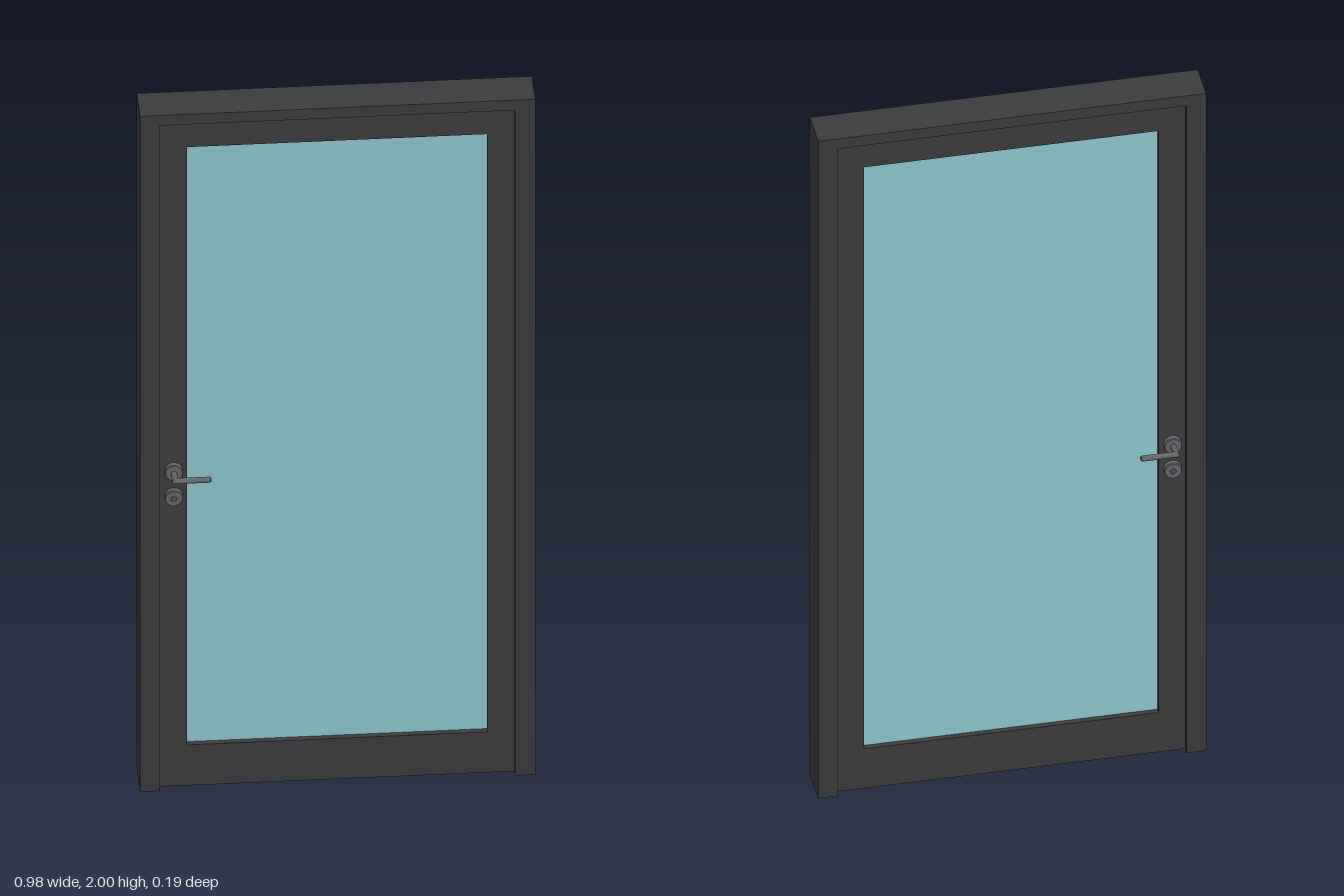
import * as THREE from 'three';

const material = (color) => new THREE.MeshStandardMaterial({ color });
const frameMat = material(0x3c3c3f);
const glassMat = material(0x8fc8d0);
const metalMat = material(0x66666a);
const darkMat = material(0x3a3a3d);

function add(parent, name, geometry, mat) {
  const mesh = new THREE.Mesh(geometry, mat);
  mesh.name = name;
  parent.add(mesh);
  return mesh;
}

// Trace a closed polygon onto a shape or hole path
function polygon(target, points) {
  points.forEach(([x, y], i) => (i ? target.lineTo(x, y) : target.moveTo(x, y)));
  target.closePath();
  return target;
}

const rect = (x, y0, y1) => [[-x, y0], [x, y0], [x, y1], [-x, y1]];

// Extrude a shape so that it is centred on z = 0
function slab(shape, depth) {
  return new THREE.ExtrudeGeometry(shape, { depth, bevelEnabled: false }).translate(0, 0, -depth / 2);
}

// Disc whose axis is z, with a small chamfer at the front rim
function disc(radius, z0, z1) {
  const c = 0.002;
  const profile = [[0, z0], [radius, z0], [radius, z1 - c], [radius - c, z1], [0, z1]]
    .map(([r, z]) => new THREE.Vector2(r, z));
  return new THREE.LatheGeometry(profile, 32).rotateX(Math.PI / 2).toNonIndexed();
}

function flatDisc(radius, z0, z1) {
  const g = disc(radius, z0, z1);
  g.computeVertexNormals();
  return g;
}

// Round bar along z or x whose end at the corner is cut to a 45 degree mitre
function mitredBar(axis, r, from, to, corner) {
  const g = new THREE.CylinderGeometry(r, r, to - from, 20);
  if (axis === 'z') g.rotateX(Math.PI / 2).translate(0, 0, (from + to) / 2);
  else g.rotateZ(-Math.PI / 2).translate((from + to) / 2, 0, corner);
  const p = g.attributes.position;
  for (let i = 0; i < p.count; i++) {
    if (axis === 'z' && Math.abs(p.getZ(i) - corner) < 1e-5) p.setZ(i, corner - p.getX(i));
    if (axis === 'x' && Math.abs(p.getX(i)) < 1e-5) p.setX(i, corner - p.getZ(i));
  }
  return g;
}

// Lever handle with its round rose, pointing toward +x and standing out along +z
function makeHandle() {
  const group = new THREE.Group();
  const r = 0.0075, corner = 0.089, length = 0.09;
  add(group, 'rose', flatDisc(0.023, 0.035, 0.055), metalMat);
  add(group, 'handleStem', mitredBar('z', r, 0.036, corner, corner), metalMat);
  add(group, 'handleLever', mitredBar('x', r, 0, length - 0.003, corner), metalMat);
  const tip = new THREE.CylinderGeometry(r - 0.003, r, 0.003, 20).rotateZ(-Math.PI / 2);
  add(group, 'leverTip', tip, metalMat).position.set(length - 0.0015, 0, corner);
  return group;
}

// Lock rose with a keyhole cylinder
function makeLock() {
  const group = new THREE.Group();
  add(group, 'lockRose', flatDisc(0.023, 0.035, 0.055), metalMat);
  add(group, 'lockCylinder', flatDisc(0.008, 0.05, 0.057), metalMat);
  const slot = add(group, 'keySlot', new THREE.BoxGeometry(0.002, 0.009, 0.002), darkMat);
  slot.position.z = 0.0565;
  return group;
}

export function createModel() {
  const model = new THREE.Group();
  model.name = 'glassDoor';

  // Outer frame: two jambs and a head, open at the floor
  const frame = polygon(new THREE.Shape(), [
    [-0.49, 0], [-0.44, 0], [-0.44, 1.97], [0.44, 1.97],
    [0.44, 0], [0.49, 0], [0.49, 2], [-0.49, 2],
  ]);
  add(model, 'doorFrame', slab(frame, 0.104), frameMat);

  // Door leaf with the glazed opening
  const leaf = polygon(new THREE.Shape(), rect(0.44, 0.005, 1.97));
  leaf.holes.push(polygon(new THREE.Path(), rect(0.372, 0.125, 1.895)));
  add(model, 'doorLeaf', slab(leaf, 0.08), frameMat);

  // Glass pane set back in the leaf
  const glass = add(model, 'glassPane', new THREE.BoxGeometry(0.744, 1.77, 0.05), glassMat);
  glass.position.y = 1.01;

  // Matching handle and lock on both faces
  for (const side of ['front', 'back']) {
    for (const [name, make, y] of [['Handle', makeHandle, 0.94], ['Lock', makeLock, 0.865]]) {
      const part = make();
      part.name = side + name;
      part.position.set(-0.406, y, 0);
      if (side === 'back') part.rotation.x = Math.PI;
      model.add(part);
    }
  }
  return model;
}
